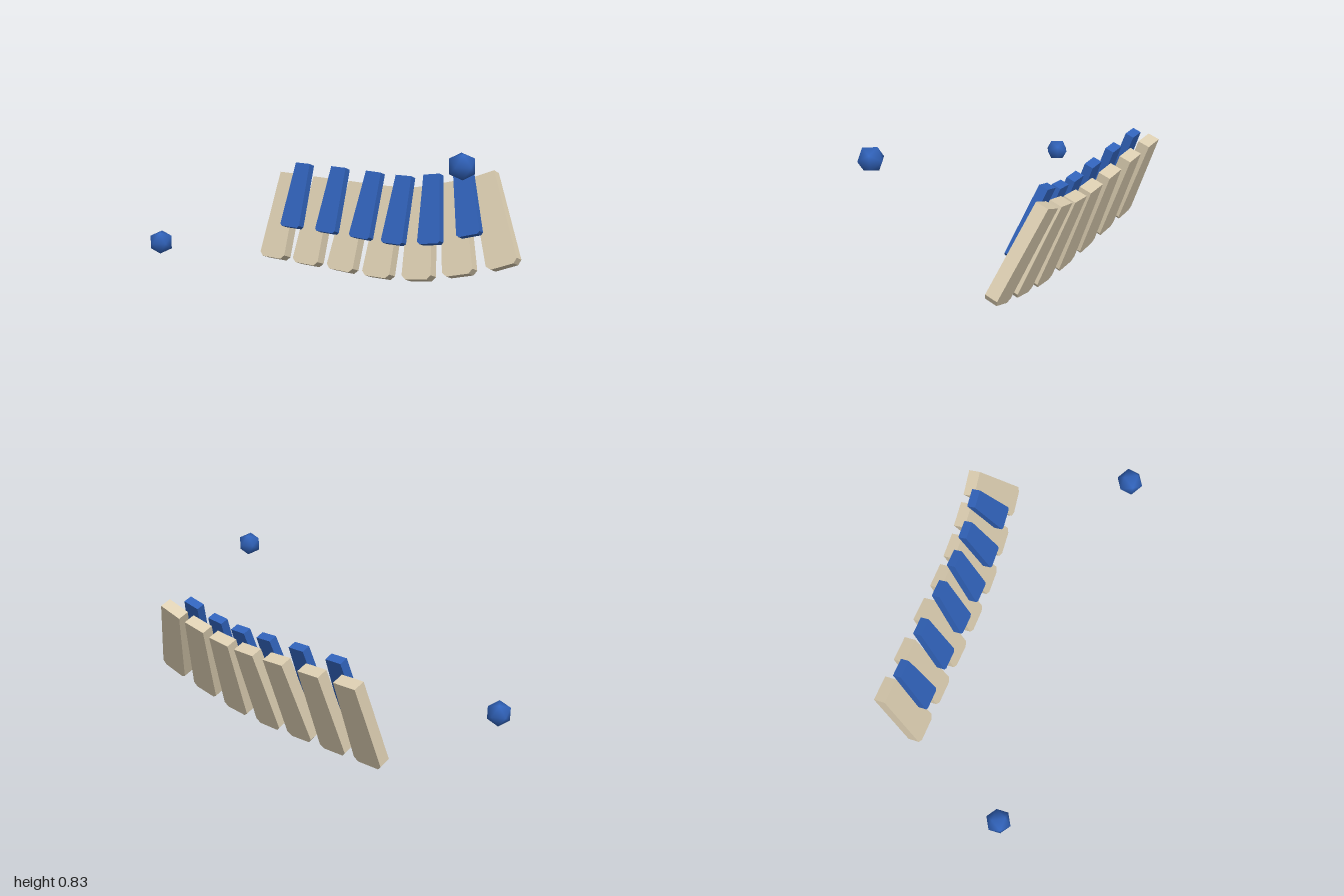
import * as THREE from 'three';
import { mergeVertices } from 'three/addons/utils/BufferGeometryUtils.js';

const cream = new THREE.MeshStandardMaterial({ color: 0xddcfb2 });
cream.name = 'cream';
const blue = new THREE.MeshStandardMaterial({ color: 0x3163bb });
blue.name = 'blue';

// Tapered key with clipped lower corners; origin at the middle of its lower end
function keyGeometry(topWidth, bottomWidth, length, depth, clip) {
  const t = topWidth / 2, b = bottomWidth / 2;
  const shape = new THREE.Shape([
    [-t, length], [-b, clip], [-b + clip, 0], [b - clip, 0], [b, clip], [t, length],
  ].map(([x, y]) => new THREE.Vector2(x, y)));
  return new THREE.ExtrudeGeometry(shape, { depth, bevelEnabled: false });
}

// Smooth-shaded icosahedron with one corner pointing forward
function ballGeometry(radius) {
  let geometry = new THREE.IcosahedronGeometry(radius, 0);
  geometry.rotateX(Math.atan(2 / (1 + Math.sqrt(5))));
  geometry.rotateZ(Math.PI / 2);
  geometry.deleteAttribute('normal');
  geometry.deleteAttribute('uv');
  geometry = mergeVertices(geometry, 1e-5);
  geometry.computeVertexNormals();
  return geometry;
}

export function createModel() {
  const model = new THREE.Group();
  model.name = 'floatingKeyboard';

  // Keyboard leaning back
  const keyboard = new THREE.Group();
  keyboard.name = 'keyboard';
  keyboard.position.set(0, 0.025, -0.175);
  keyboard.rotation.x = THREE.MathUtils.degToRad(-20);
  model.add(keyboard);

  function addKeys(name, geometry, material, z, rows) {
    rows.forEach(([x, y, degrees], i) => {
      const key = new THREE.Mesh(geometry, material);
      key.name = name + (i + 1);
      key.position.set(x, y, z);
      key.rotation.z = THREE.MathUtils.degToRad(degrees);
      keyboard.add(key);
    });
  }

  // Long keys: x, height along the slope, lean
  addKeys('longKey', keyGeometry(0.14, 0.178, 0.525, 0.069, 0.024), cream, -0.069, [
    [-0.589, 0.029, -1.6], [-0.347, 0.019, -1.8], [-0.104, 0.011, -2.7], [0.139, 0.005, 0],
    [0.396, 0.023, 7.5], [0.638, 0.08, 14.5], [0.883, 0.158, 22.5],
  ]);

  // Short keys in front of the gaps
  addKeys('shortKey', keyGeometry(0.1, 0.135, 0.39, 0.05, 0.013), blue, 0.009, [
    [-0.463, 0.219, -1.3], [-0.212, 0.214, -1.7], [0.021, 0.205, -2.6],
    [0.235, 0.197, -0.2], [0.462, 0.222, 7.9], [0.687, 0.293, 16.3],
  ]);

  // Floating balls
  const ball = ballGeometry(0.07);
  [['rightBall', -0.937, 0.21], ['leftBall', 0.937, 0.778]].forEach(([name, x, y]) => {
    const mesh = new THREE.Mesh(ball, blue);
    mesh.name = name;
    mesh.position.set(x, y, 0.397);
    model.add(mesh);
  });

  return model;
}
